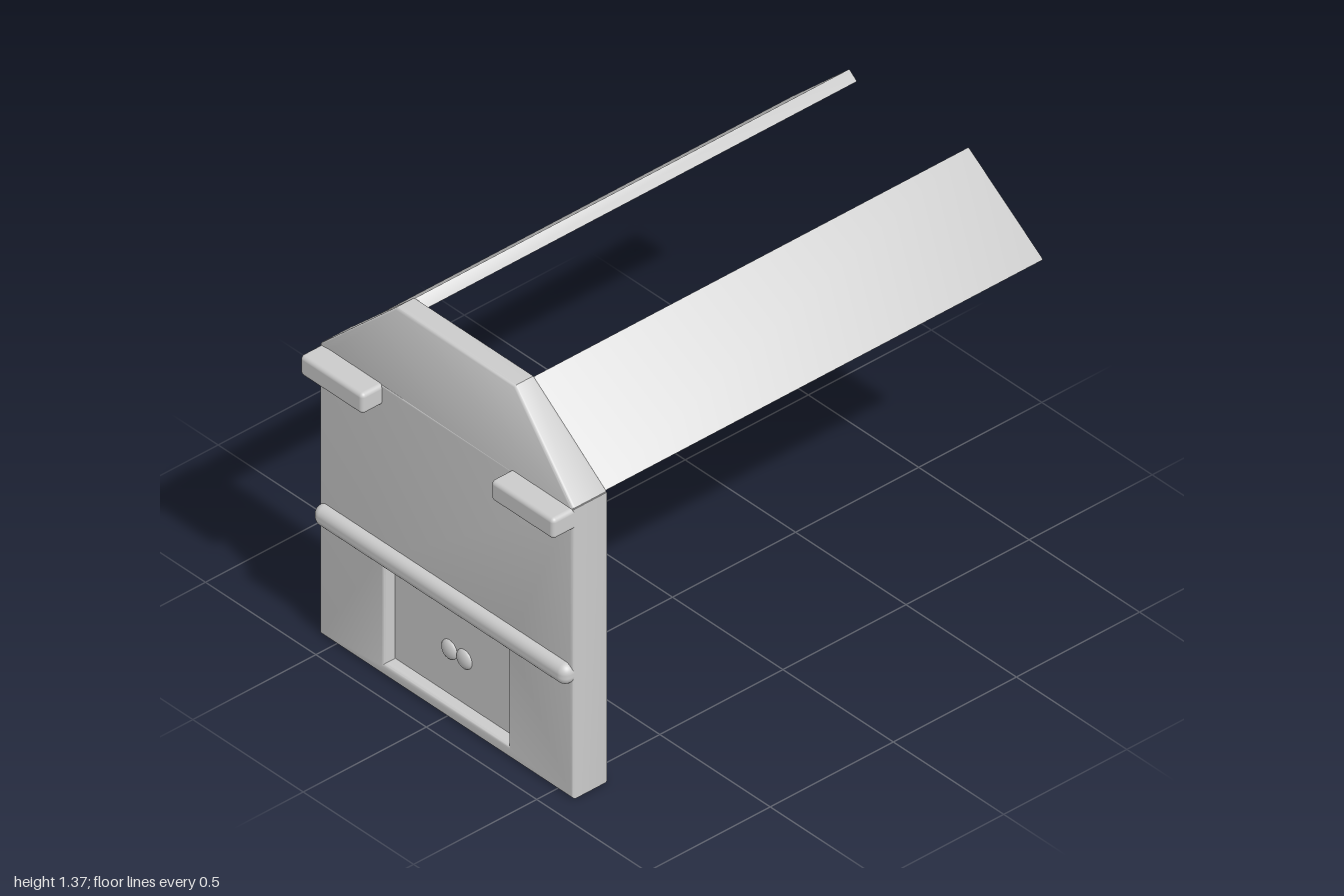
import * as THREE from 'three';
import { toCreasedNormals } from 'three/addons/utils/BufferGeometryUtils.js';
import { RoundedBoxGeometry } from 'three/addons/geometries/RoundedBoxGeometry.js';

const grey = new THREE.MeshStandardMaterial({ color: 0xcccccc });

export function createModel() {
  const model = new THREE.Group();

  const add = (name, geometry) => {
    const mesh = new THREE.Mesh(geometry, grey);
    mesh.name = name;
    model.add(mesh);
    return mesh;
  };

  // Box with rounded edges, given by its limits
  const block = (name, x0, x1, y0, y1, z0, z1, r) => {
    const mesh = add(name, new RoundedBoxGeometry(x1 - x0, y1 - y0, z1 - z0, 4, r));
    mesh.position.set((x0 + x1) / 2, (y0 + y1) / 2, (z0 + z1) / 2);
  };

  // Outline extruded from z0 to z1 with a soft bevel; rule(x, y, z) may shift z
  const slab = (name, points, z0, z1, bevel, rule, hole) => {
    const shape = new THREE.Shape(points.map(p => new THREE.Vector2(...p)));
    if (hole) shape.holes.push(new THREE.Path(hole.map(p => new THREE.Vector2(...p))));
    const geo = new THREE.ExtrudeGeometry(shape, {
      depth: z1 - z0 - 2 * bevel, bevelEnabled: true, bevelThickness: bevel,
      bevelSize: bevel, bevelOffset: -bevel, bevelSegments: 4,
    });
    geo.translate(0, 0, z0 + bevel);
    if (rule) {
      const p = geo.attributes.position;
      for (let i = 0; i < p.count; i++) p.setZ(i, rule(p.getX(i), p.getY(i), p.getZ(i)));
    }
    add(name, toCreasedNormals(geo, 0.7));
  };

  // Front wall with an opening, closed by a recessed panel
  slab('wall',
    [[-0.575, 0], [0.575, 0], [0.575, 1.083], [-0.575, 1.083]], 0.775, 0.92, 0.012, null,
    [[-0.28, 0.045], [-0.28, 0.43], [0.28, 0.43], [0.28, 0.045]]);
  block('recessedPanel', -0.32, 0.32, 0.02, 0.46, 0.7755, 0.875, 0.005);
  for (const s of [-1, 1]) {
    const knob = add('panelKnob', new THREE.SphereGeometry(0.035, 20, 14));
    knob.position.set(s * 0.034, 0.212, 0.873);
    knob.scale.z = 0.5;
  }

  // Gable, thinner towards its top
  slab('gable',
    [[-0.572, 1.04], [0.572, 1.04], [0.572, 1.085], [0.27, 1.365], [-0.27, 1.365], [-0.572, 1.085]],
    0.776, 0.919, 0.012,
    (x, y, z) => {
      const t = Math.max(0, (y - 1.08) / 0.285);
      return z > 0.85 ? z - 0.035 * t : z + 0.025 * t;
    });

  // Rail across the wall and post on its back
  block('rail', -0.574, 0.574, 0.425, 0.5, 0.865, 0.955, 0.032);
  block('backPost', -0.092, 0.092, 0.002, 1.0, 0.69, 0.8, 0.018);

  // Left and right sides: ledge tab and sloping roof panel with a slanted rear end
  for (const s of [-1, 1]) {
    const x0 = s > 0 ? 0.29 : -0.574;
    block('ledgeTab', x0, x0 + 0.284, 1.006, 1.082, 0.86, 1.0, 0.015);
    slab('roofPanel',
      [[0.566, 1.084], [0.27, 1.362], [0.24, 1.33], [0.505, 1.084]].map(([x, y]) => [s * x, y]),
      -1, 0.83, 0.008,
      (x, y, z) => (z < 0 ? z + (y - 1.085) * 0.13 : z));
  }

  return model;
}
